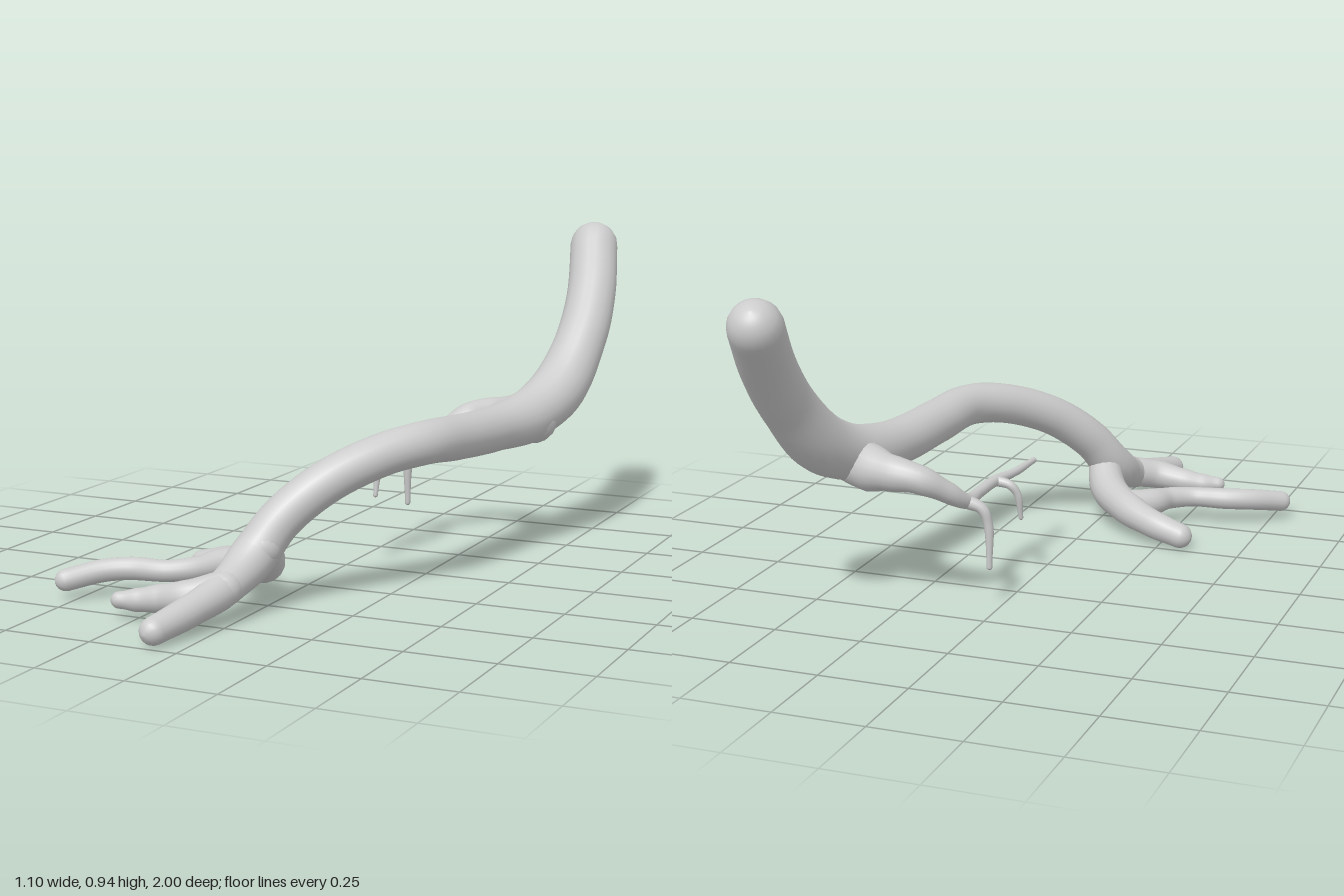
import * as THREE from 'three';

const material = new THREE.MeshStandardMaterial({ color: 0xcccccc });

// Tapered, round-ended limb through points [x, y, z, radius]
function limb(name, points, sides = 16) {
  const curve = new THREE.CatmullRomCurve3(points.map(p => new THREE.Vector3(p[0], p[1], p[2])));
  const steps = points.length * 6;
  const frames = curve.computeFrenetFrames(steps);
  const radiusAt = u => {
    const t = curve.getUtoTmapping(u) * (points.length - 1);
    const i = Math.min(Math.floor(t), points.length - 2);
    return THREE.MathUtils.lerp(points[i][3], points[i + 1][3], THREE.MathUtils.smoothstep(t - i, 0, 1));
  };

  // Rings: domed start, body, domed end
  const rings = [];
  const ring = (i, angle, direction) => {
    const r = radiusAt(i / steps);
    const center = curve.getPointAt(i / steps)
      .addScaledVector(frames.tangents[i], direction * r * Math.sin(angle));
    rings.push({ center, r: Math.max(r * Math.cos(angle), r * 0.01), i });
  };
  const domeSteps = 5;
  for (let k = domeSteps; k > 0; k--) ring(0, k / domeSteps * Math.PI / 2, -1);
  for (let i = 0; i <= steps; i++) ring(i, 0, 0);
  for (let k = 1; k <= domeSteps; k++) ring(steps, k / domeSteps * Math.PI / 2, 1);

  const position = [], index = [];
  rings.forEach(({ center, r, i }, row) => {
    for (let j = 0; j < sides; j++) {
      const a = j / sides * Math.PI * 2;
      const p = center.clone()
        .addScaledVector(frames.normals[i], r * Math.cos(a))
        .addScaledVector(frames.binormals[i], r * Math.sin(a));
      position.push(p.x, p.y, p.z);
      if (row === rings.length - 1) continue;
      const next = (j + 1) % sides;
      const A = row * sides + j, B = row * sides + next;
      index.push(A, B, B + sides, A, B + sides, A + sides);
    }
  });
  const geometry = new THREE.BufferGeometry();
  geometry.setAttribute('position', new THREE.Float32BufferAttribute(position, 3));
  geometry.setIndex(index);
  geometry.computeVertexNormals();
  const mesh = new THREE.Mesh(geometry, material);
  mesh.name = name;
  return mesh;
}

export function createModel() {
  const group = new THREE.Group();
  group.name = 'branch';
  group.add(
    // Thick stem from the raised end down to the foremost tip
    limb('mainStem', [
      [0.43, 0.875, -0.925, 0.073], [0.465, 0.74, -0.80, 0.074], [0.473, 0.62, -0.69, 0.076],
      [0.45, 0.48, -0.55, 0.083], [0.41, 0.415, -0.40, 0.078], [0.37, 0.402, -0.20, 0.066],
      [0.343, 0.41, 0.0, 0.064], [0.312, 0.42, 0.17, 0.061], [0.235, 0.40, 0.29, 0.059],
      [0.13, 0.34, 0.41, 0.059], [0.04, 0.25, 0.50, 0.059], [-0.01, 0.155, 0.57, 0.063],
      [-0.028, 0.10, 0.69, 0.05], [-0.055, 0.068, 0.83, 0.042], [-0.085, 0.046, 0.963, 0.037],
    ], 20),
    // Lower forks near the ground
    limb('backFork', [
      [0.015, 0.18, 0.555, 0.05], [-0.03, 0.115, 0.46, 0.055], [-0.12, 0.088, 0.365, 0.05],
      [-0.22, 0.066, 0.305, 0.042], [-0.315, 0.045, 0.28, 0.037],
    ]),
    limb('sideFork', [
      [-0.11, 0.092, 0.375, 0.045], [-0.175, 0.09, 0.43, 0.042], [-0.215, 0.088, 0.50, 0.033],
      [-0.28, 0.085, 0.548, 0.03], [-0.38, 0.085, 0.563, 0.032], [-0.45, 0.08, 0.598, 0.032],
      [-0.525, 0.062, 0.67, 0.031],
    ]),
    limb('frontFork', [
      [-0.025, 0.10, 0.70, 0.048], [-0.10, 0.082, 0.752, 0.045], [-0.18, 0.07, 0.757, 0.038],
      [-0.24, 0.062, 0.768, 0.032], [-0.29, 0.06, 0.784, 0.023],
    ]),
    // Thin side twig with its two drooping spurs
    limb('twig', [
      [0.42, 0.40, -0.41, 0.07], [0.34, 0.395, -0.465, 0.065], [0.27, 0.395, -0.492, 0.05],
      [0.19, 0.385, -0.49, 0.04], [0.13, 0.345, -0.447, 0.03], [0.095, 0.305, -0.39, 0.022],
      [0.10, 0.298, -0.29, 0.016], [0.10, 0.298, -0.17, 0.016], [0.08, 0.296, -0.05, 0.012],
      [0.072, 0.297, 0.075, 0.009],
    ]),
    limb('rearSpur', [
      [0.095, 0.305, -0.39, 0.02], [0.05, 0.285, -0.382, 0.016], [0.034, 0.24, -0.378, 0.013],
      [0.03, 0.12, -0.382, 0.008],
    ], 10),
    limb('frontSpur', [
      [0.10, 0.298, -0.16, 0.015], [0.055, 0.288, -0.157, 0.013], [0.036, 0.26, -0.15, 0.011],
      [0.03, 0.19, -0.14, 0.007],
    ], 10),
  );
  return group;
}
